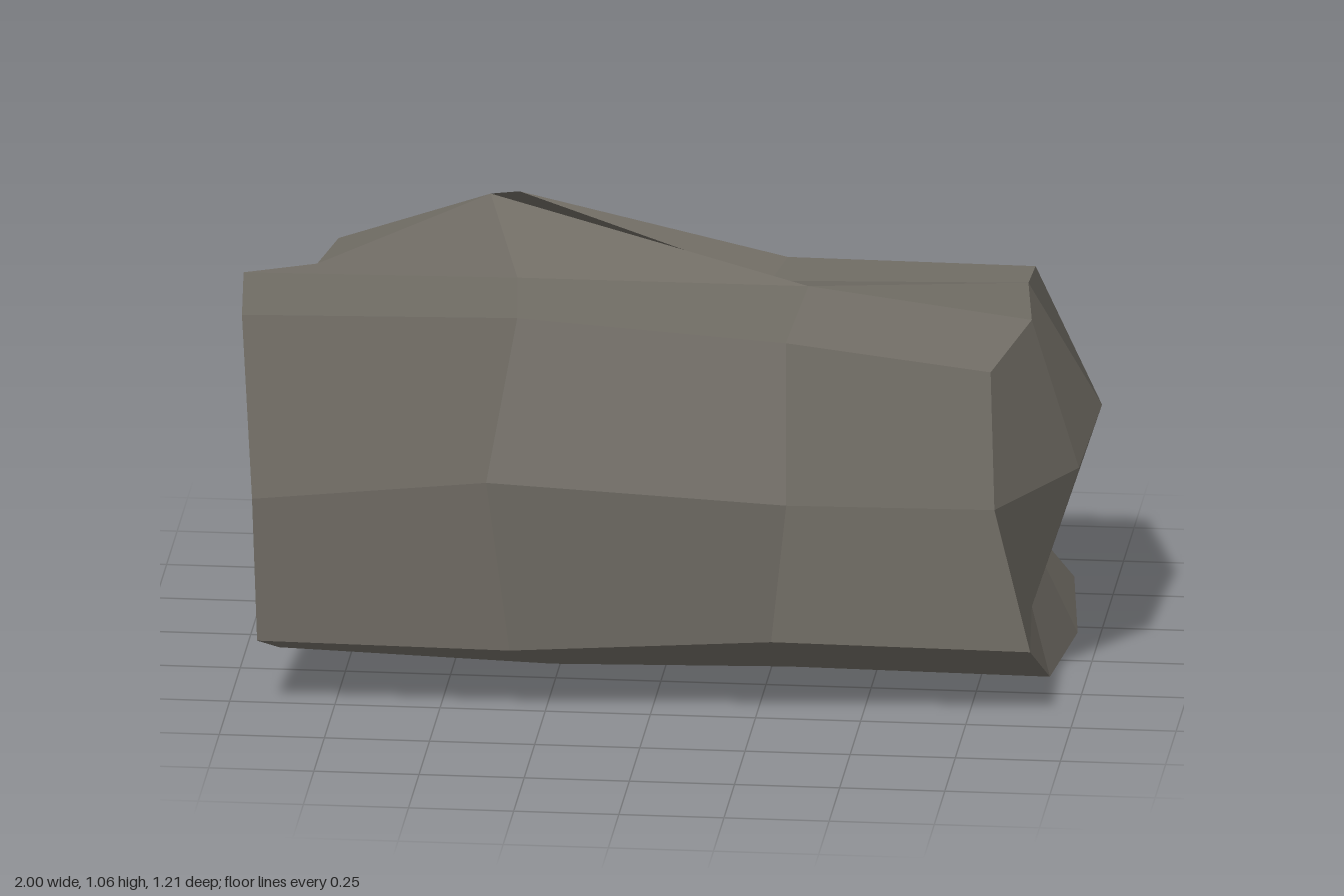
import * as THREE from 'three';

// Four cross-sections from right (-x) to left (+x); each ring starts at the
// lower front edge, climbs the front, crosses the top and returns underneath.
const sections = [
  [[-0.89, 0.115, 0.43], [-0.93, 0.17, 0.55], [-0.94, 0.53, 0.57], [-0.965, 0.985, 0.56],
   [-1, 0.96, 0.17], [-0.86, 0.87, -0.18], [-0.83, 0.865, -0.39], [-0.8, 0.775, -0.48],
   [-0.65, 0.45, -0.515], [-0.5, 0.16, -0.545], [-0.43, 0.09, -0.53], [-0.67, 0.065, -0.15]],
  [[-0.26, 0.025, 0.22], [-0.33, 0.165, 0.55], [-0.38, 0.6, 0.605], [-0.31, 1.0, 0.565],
   [-0.35, 0.965, 0.16], [-0.45, 1.05, -0.205], [-0.38, 1.063, -0.19], [-0.31, 0.69, -0.545],
   [-0.33, 0.45, -0.58], [-0.37, 0.14, -0.605], [-0.37, 0.06, -0.6], [-0.3, 0.01, -0.2]],
  [[0.3, 0.03, 0.2], [0.29, 0.2, 0.53], [0.33, 0.555, 0.57], [0.32, 0.93, 0.48],
   [0.34, 0.96, 0.14], [0.22, 0.87, -0.16], [0.24, 0.86, -0.37], [0.26, 0.745, -0.48],
   [0.25, 0.47, -0.52], [0.22, 0.2, -0.55], [0.1, 0.01, -0.59], [0.3, 0, -0.2]],
  [[0.92, 0.025, 0.2], [0.9, 0.175, 0.47], [0.81, 0.51, 0.42], [0.8, 0.85, 0.41],
   [0.87, 0.89, 0.13], [0.83, 0.875, -0.19], [0.83, 0.86, -0.36], [0.82, 0.7, -0.505],
   [0.8, 0.53, -0.49], [0.78, 0.2, -0.49], [0.9, 0.015, -0.58], [0.945, 0, -0.21]],
];

// Extra points inside each end; end faces index the ring (0-11), then these (12+).
const leftInner = [[0.985, 0.535, 0.16], [1, 0.56, -0.24], [0.87, 0.175, 0.13], [0.86, 0.175, -0.22]];
const leftFaces = [
  [1, 0, 14], [0, 11, 15, 14], [11, 10, 9, 15],
  [14, 12, 2, 1], [14, 15, 13, 12], [15, 9, 8, 13],
  [2, 12, 4, 3], [12, 13, 5, 4], [13, 8, 7, 6, 5],
];
const rightInner = [[-0.92, 0.79, -0.19], [-0.9, 0.5, 0], [-0.9, 0.115, 0.15]];
const rightFaces = [
  [13, 12, 7, 8, 9, 10, 11, 14], [7, 12, 5, 6], [12, 4, 5], [13, 4, 12],
  [13, 2, 3, 4], [14, 1, 2, 13], [14, 0, 1], [11, 0, 14],
];

export function createModel() {
  const positions = [], normals = [];

  // Adds a polygon as a fan, shaded with one flat normal
  const addFace = (...corners) => {
    const pts = corners.map((p) => new THREE.Vector3(...p));
    const normal = new THREE.Vector3();
    pts.forEach((p, i) => normal.add(p.clone().cross(pts[(i + 1) % pts.length])));
    normal.normalize();
    for (let i = 1; i < pts.length - 1; i++) {
      for (const p of [pts[0], pts[i], pts[i + 1]]) {
        positions.push(...p.toArray());
        normals.push(...normal.toArray());
      }
    }
  };
  // Adds a quad creased along its first-to-third diagonal
  const addFolded = (p, q, r, s) => {
    addFace(p, q, r);
    addFace(p, r, s);
  };

  // Faces around the stone; those along the top and the back ridge are creased
  for (let s = 0; s < 3; s++) {
    const a = sections[s], b = sections[s + 1];
    for (let r = 0; r < 12; r++) {
      const n = (r + 1) % 12;
      const add = (s > 0 && r === 4) || (s === 2 && r === 6) ? addFolded : addFace;
      if (r < 6 && !(s === 2 && r === 4)) add(b[r], b[n], a[n], a[r]);
      else add(a[r], b[r], b[n], a[n]);
    }
  }

  // Broken ends
  const addEnd = (ring, inner, faces) => {
    const pts = [...ring, ...inner];
    for (const f of faces) addFace(...f.map((i) => pts[i]));
  };
  addEnd(sections[3], leftInner, leftFaces);
  addEnd(sections[0], rightInner, rightFaces);

  const geometry = new THREE.BufferGeometry();
  geometry.setAttribute('position', new THREE.Float32BufferAttribute(positions, 3));
  geometry.setAttribute('normal', new THREE.Float32BufferAttribute(normals, 3));

  const stone = new THREE.MeshStandardMaterial({ color: 0x726e66 });
  stone.name = 'warm grey stone';
  const rock = new THREE.Mesh(geometry, stone);
  rock.name = 'rock';

  const group = new THREE.Group();
  group.name = 'boulder';
  group.add(rock);
  return group;
}
